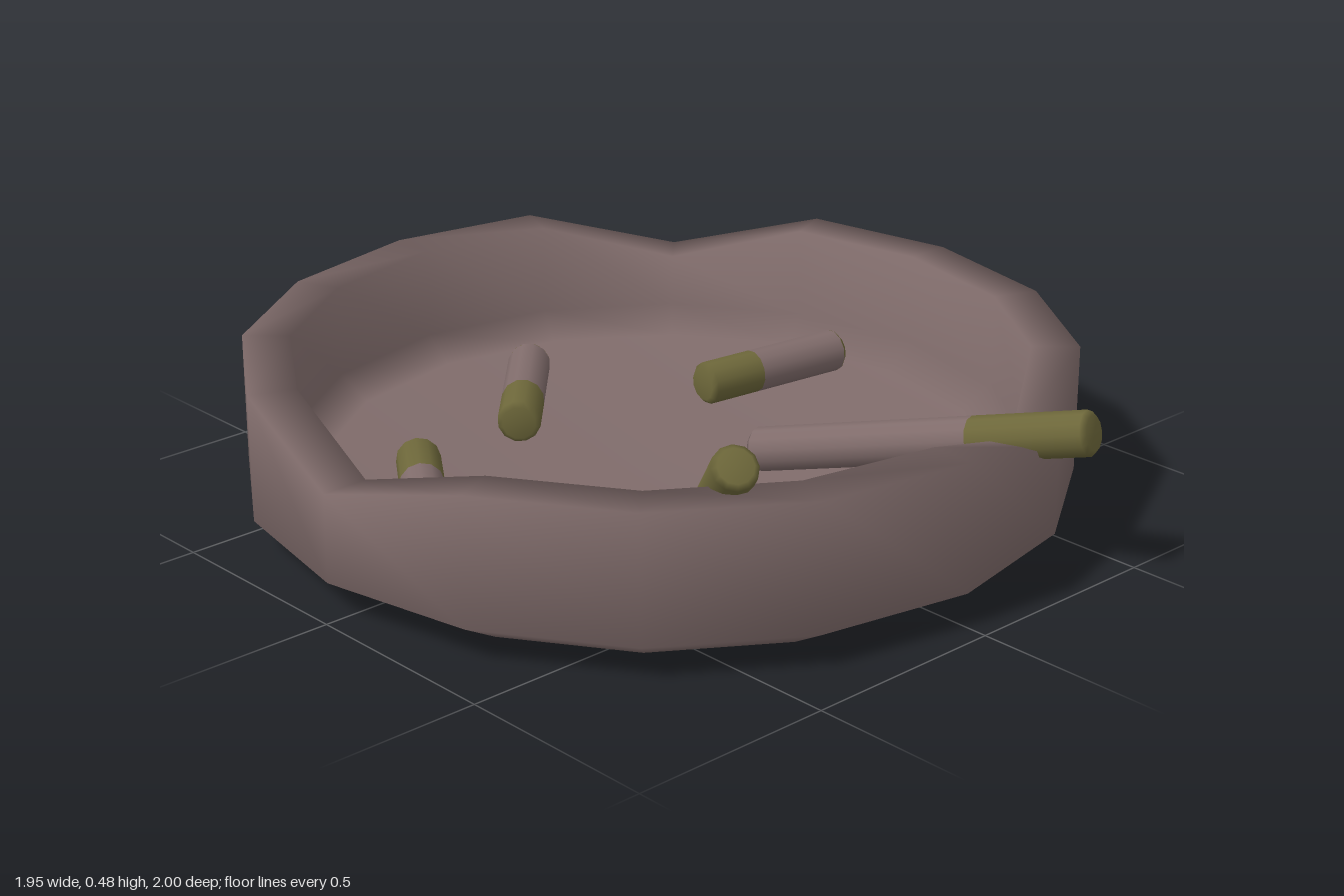
import * as THREE from 'three';
import { mergeVertices } from 'three/addons/utils/BufferGeometryUtils.js';

const clay = new THREE.MeshStandardMaterial({ color: 0x806c6b });
clay.name = 'dusty mauve';
const olive = new THREE.MeshStandardMaterial({ color: 0x6d673a });
olive.name = 'olive';

const v2 = (x, y) => new THREE.Vector2(x, y);

// Sixteen-sided dish with three resting notches in the rim
function makeDish() {
  const profile = [
    v2(0, 0), v2(0.835, 0), v2(0.973, 0.08), v2(0.973, 0.385),
    v2(0.86, 0.385), v2(0.86, 0.16), v2(0.79, 0.1), v2(0, 0.1),
  ];
  const sides = 16, notches = [1, 6, 12];
  let geo = new THREE.LatheGeometry(profile, sides);
  const pos = geo.attributes.position;
  for (let i = 0; i < pos.count; i++) {
    const side = Math.floor(i / profile.length) % sides;
    if (notches.includes(side) && pos.getY(i) > 0.38) pos.setY(i, 0.29);
  }
  geo.deleteAttribute('uv');
  geo.deleteAttribute('normal');
  geo = mergeVertices(geo, 1e-4);
  geo.computeVertexNormals();
  const dish = new THREE.Mesh(geo, clay);
  dish.name = 'dish';
  dish.position.z = -0.027;
  return dish;
}

// Rod section along y; closed and slightly bevelled at the chosen ends
function rod(name, from, to, material, closeStart, closeEnd) {
  const r = 0.052, b = 0.012;
  const pts = [];
  if (closeStart) pts.push(v2(0, from), v2(r - b, from), v2(r, from + b));
  else pts.push(v2(r, from));
  if (closeEnd) pts.push(v2(r, to - b), v2(r - b, to), v2(0, to));
  else pts.push(v2(r, to));
  const mesh = new THREE.Mesh(new THREE.LatheGeometry(pts, 12), material);
  mesh.name = name;
  return mesh;
}

// Stub running from its filter end to its paper end
function makeStub({ name, a, b, filter, oliveTip }) {
  const start = new THREE.Vector3(...a);
  const dir = new THREE.Vector3(...b).sub(start);
  const len = dir.length(), split = len * filter;
  const stub = new THREE.Group();
  stub.name = name;
  stub.add(rod('filter', 0, split, olive, true, false));
  if (oliveTip) {
    stub.add(rod('paper', split, len - 0.013, clay, false, false));
    stub.add(rod('burntTip', len - 0.013, len, olive, false, true));
  } else {
    stub.add(rod('paper', split, len, clay, false, true));
  }
  stub.position.copy(start);
  stub.quaternion.setFromUnitVectors(new THREE.Vector3(0, 1, 0), dir.normalize());
  return stub;
}

export function createModel() {
  const model = new THREE.Group();
  model.name = 'ashtray';
  model.add(makeDish());
  const stubs = [
    { name: 'longCigarette', a: [0.35, 0.365, 0.985], b: [0.105, 0.15, 0.19], filter: 0.34 },
    { name: 'leaningStub', a: [-0.475, 0.445, 0.72], b: [-0.31, 0.16, 0.45], filter: 0.5 },
    { name: 'backStub', a: [-0.2, 0.152, -0.3], b: [0.08, 0.152, -0.59], filter: 0.37, oliveTip: true },
    { name: 'leftStub', a: [0.29, 0.152, -0.185], b: [0.7, 0.152, -0.13], filter: 0.37, oliveTip: true },
    { name: 'rightStub', a: [-0.5, 0.152, -0.305], b: [-0.73, 0.152, 0.02], filter: 0.4, oliveTip: true },
  ];
  for (const s of stubs) model.add(makeStub(s));
  return model;
}
